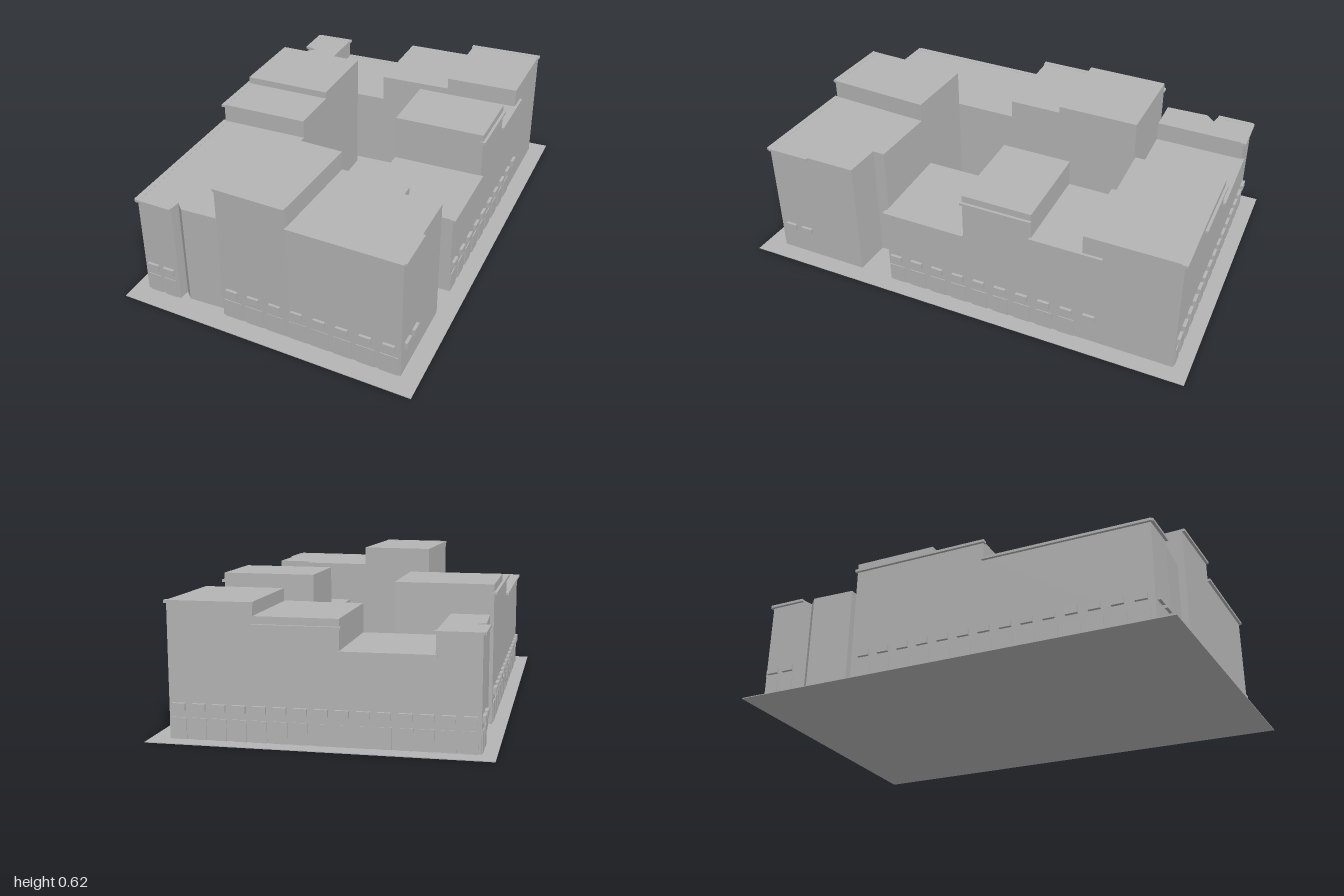
import * as THREE from 'three';

const stone = new THREE.MeshStandardMaterial({ color: 0xb4b4b4 });
stone.name = 'stone grey';

// Vertical prism over a footprint of [x, z] corners
function prism(name, corners, height) {
  const shape = new THREE.Shape(corners.map(([x, z]) => new THREE.Vector2(x, -z)));
  const geo = new THREE.ExtrudeGeometry(shape, { depth: height, bevelEnabled: false });
  geo.rotateX(-Math.PI / 2);
  const mesh = new THREE.Mesh(geo, stone);
  mesh.name = name;
  return mesh;
}

// Box centred on the wall line a-b at fraction t, poking out by `out`
function wallBox(name, a, b, t, width, y0, y1, out) {
  const dx = b[0] - a[0], dz = b[1] - a[1];
  const mesh = new THREE.Mesh(new THREE.BoxGeometry(width, y1 - y0, out * 2), stone);
  mesh.position.set(a[0] + dx * t, (y0 + y1) / 2, a[1] + dz * t);
  mesh.rotation.y = -Math.atan2(dz, dx);
  mesh.name = name;
  return mesh;
}

// Ledge along a wall, with its top at y
function cornice(a, b, y) {
  const length = Math.hypot(b[0] - a[0], b[1] - a[1]);
  return wallBox('cornice', a, b, 0.5, length + 0.012, y - 0.01, y + 0.001, 0.012);
}

// Evenly spaced street doors and the small awnings over them
function shopfront(a, b, count, doorWidth, doorCount = count) {
  const row = new THREE.Group();
  row.name = 'shopfront';
  for (let i = 0; i < count; i++) {
    const t = (i + 0.5) / count;
    row.add(wallBox('awning', a, b, t, 0.05, 0.115, 0.143, 0.013));
    if (i < doorCount) row.add(wallBox('door', a, b, t, doorWidth, 0, 0.087, 0.004));
  }
  return row;
}

const rect = (x0, x1, z0, z1) => [[x0, z0], [x1, z0], [x1, z1], [x0, z1]];

export function createModel() {
  const block = new THREE.Group();
  block.name = 'cityBlock';

  // Pavement slab
  block.add(prism('pavement', [[-0.655, -0.97], [0.65, -1], [0.65, 1], [-0.655, 0.915]], 0.003));

  // Back row
  block.add(
    prism('backCornerNotched', [[-0.598, -0.9], [-0.43, -0.905], [-0.43, -0.508], [-0.583, -0.505],
      [-0.59, -0.695], [-0.55, -0.735], [-0.598, -0.745]], 0.448),
    prism('backLow', [[-0.43, -0.905], [-0.08, -0.916], [-0.08, -0.516], [-0.43, -0.508]], 0.362),
    prism('backMiddle', [[-0.08, -0.916], [0.245, -0.922], [0.245, -0.524], [-0.08, -0.516]], 0.48),
    prism('backTall', [[0.245, -0.922], [0.575, -0.932], [0.575, -0.53], [0.245, -0.524]], 0.532),
    cornice([-0.598, -0.9], [-0.43, -0.905], 0.448),
    cornice([-0.598, -0.9], [-0.598, -0.75], 0.448),
    cornice([-0.43, -0.905], [-0.08, -0.916], 0.362),
    cornice([-0.08, -0.916], [0.245, -0.922], 0.45),
    cornice([0.245, -0.922], [0.575, -0.932], 0.532),
    shopfront([-0.598, -0.9], [0.575, -0.932], 15, 0.055),
    shopfront([-0.598, -0.9], [-0.598, -0.75], 2, 0.05),
  );

  // Row along the -x street
  block.add(
    prism('westTall', rect(-0.595, -0.2, -0.475, -0.11), 0.563),
    prism('westMiddle', rect(-0.595, -0.2, -0.11, 0.125), 0.532),
    prism('westLow', [[-0.595, 0.125], [-0.2, 0.125], [-0.2, 0.825], [-0.395, 0.825],
      [-0.43, 0.79], [-0.433, 0.838], [-0.595, 0.828]], 0.45),
    cornice([-0.595, -0.475], [-0.595, -0.11], 0.532),
    cornice([-0.595, -0.11], [-0.595, 0.125], 0.532),
    cornice([-0.595, 0.125], [-0.595, 0.828], 0.45),
    cornice([-0.595, 0.828], [-0.44, 0.837], 0.45),
    shopfront([-0.595, -0.46], [-0.595, 0.82], 14, 0.065),
    shopfront([-0.59, 0.828], [-0.44, 0.837], 2, 0.057),
  );

  // Row along the +x street
  block.add(
    prism('eastLow', rect(0.18, 0.575, -0.015, 0.35), 0.365),
    prism('eastTall', rect(0.18, 0.575, -0.315, -0.015), 0.563),
    prism('eastBack', rect(0.18, 0.575, -0.53, -0.315), 0.45),
    cornice([0.575, 0.35], [0.575, -0.01], 0.365),
    cornice([0.575, -0.015], [0.575, -0.31], 0.532),
    cornice([0.575, -0.315], [0.575, -0.61], 0.45),
    shopfront([0.575, 0.36], [0.575, -0.62], 10, 0.07, 9),
  );

  // Front corner buildings
  block.add(
    prism('frontTall', [[-0.2, 0.4], [0.118, 0.42], [0.095, 0.877], [-0.218, 0.855]], 0.615),
    prism('frontCorner', [[0.118, 0.42], [0.415, 0.438], [0.415, 0.49], [0.573, 0.5],
      [0.573, 0.905], [0.095, 0.877]], 0.532),
    cornice([-0.212, 0.855], [0.088, 0.876], 0.615),
    cornice([0.1, 0.877], [0.573, 0.905], 0.532),
    cornice([0.573, 0.9], [0.573, 0.72], 0.532),
    shopfront([-0.218, 0.855], [0.573, 0.905], 8, 0.078),
    shopfront([0.573, 0.89], [0.573, 0.73], 2, 0.05, 0),
  );
  return block;
}
